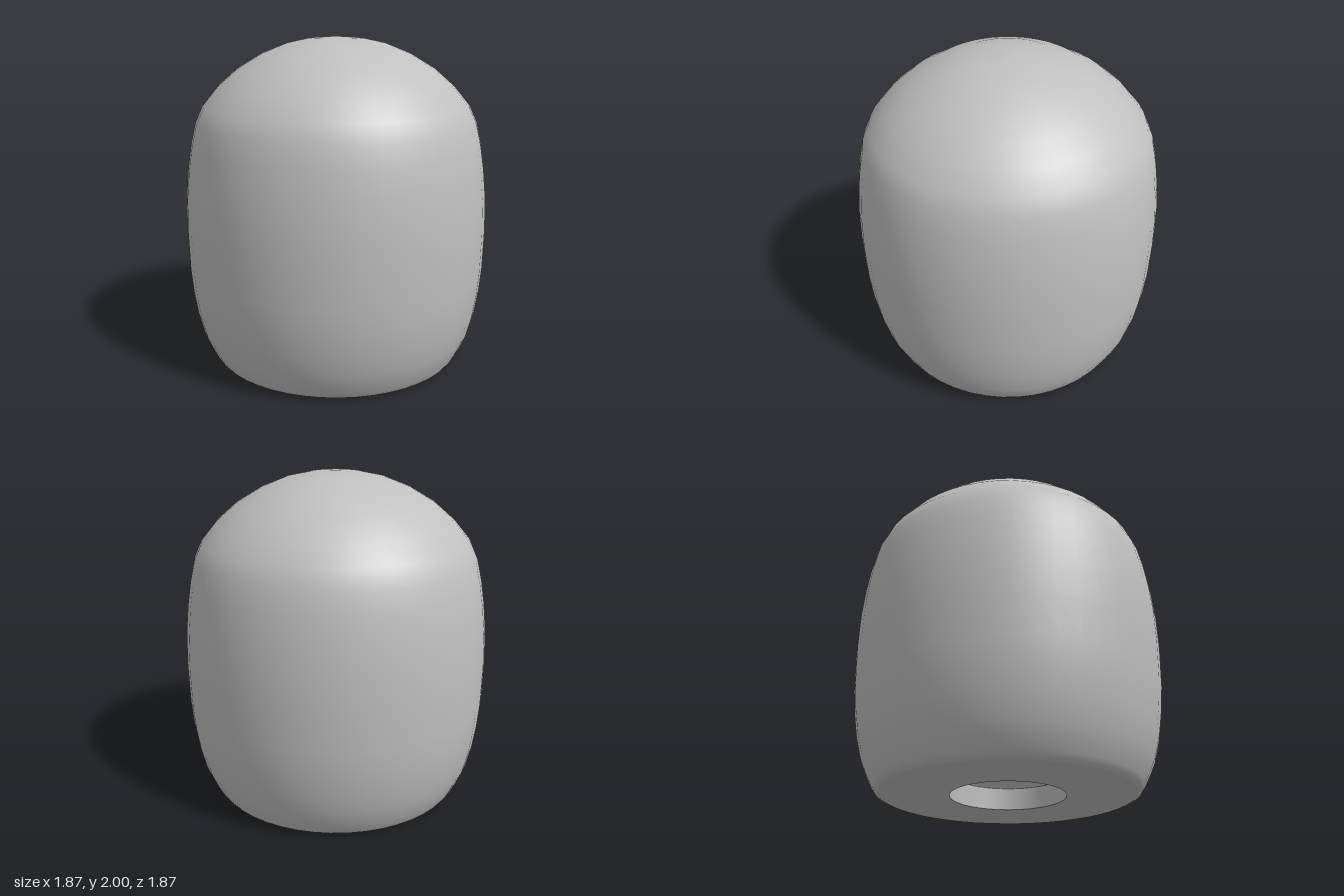
import * as THREE from 'three';

export function createModel() {
  const model = new THREE.Group();
  model.name = 'knob';
  const grey = new THREE.MeshStandardMaterial({ color: 0xc0c0c0 });
  grey.name = 'plain grey';

  // Each profile runs from the socket outwards and up, so faces point outwards.
  // Separate lathes keep the edges between them sharp.
  const turn = (name, profile) => {
    const points = profile.map(([r, y]) => new THREE.Vector2(r, y));
    const mesh = new THREE.Mesh(new THREE.LatheGeometry(points, 48), grey);
    mesh.name = name;
    model.add(mesh);
  };

  // Recessed socket in the underside
  turn('socketCeiling', [[0, 0.18], [0.28, 0.18]]);
  turn('socketLedge', [[0.28, 0.18], [0.305, 0.165], [0.325, 0.145], [0.335, 0.13]]);
  turn('socketWall', [[0.335, 0.13], [0.34, 0]]);

  // Flat underside
  turn('base', [[0.34, 0], [0.75, 0]]);

  // Bulging side and domed top
  turn('shell', [
    [0.75, 0], [0.775, 0.012], [0.795, 0.04], [0.825, 0.1], [0.86, 0.18],
    [0.893, 0.31], [0.915, 0.45], [0.929, 0.6], [0.935, 0.85], [0.929, 1.05],
    [0.912, 1.22], [0.89, 1.36], [0.86, 1.49], [0.815, 1.59], [0.72, 1.705],
    [0.6, 1.81], [0.45, 1.9], [0.3, 1.96], [0.16, 1.99], [0, 2],
  ]);

  return model;
}
